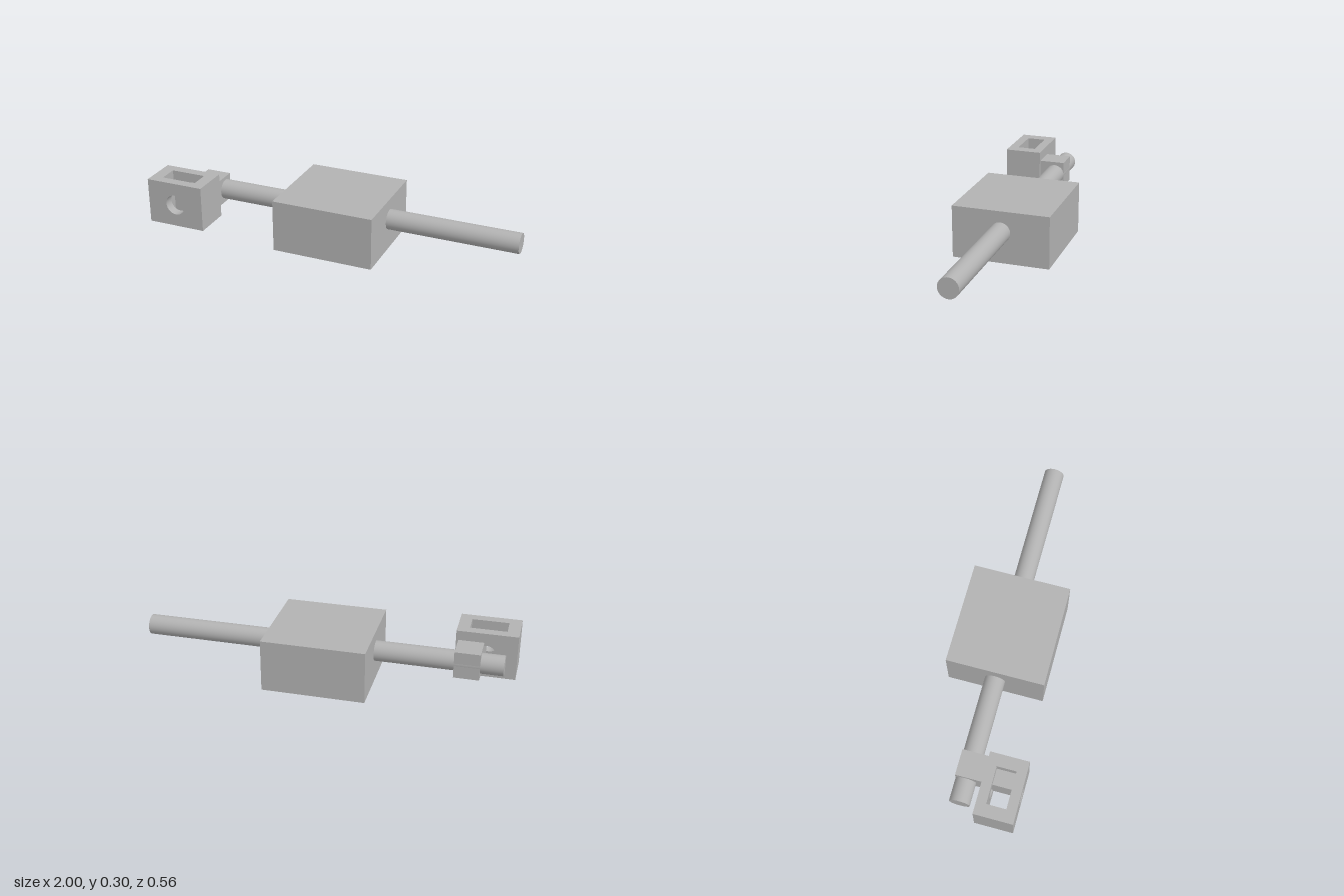
import * as THREE from 'three';

const steel = new THREE.MeshStandardMaterial({ color: 0xb2b2b2 });
steel.name = 'plain grey';

function add(parent, name, geometry) {
  const mesh = new THREE.Mesh(geometry, steel);
  mesh.name = name;
  parent.add(mesh);
  return mesh;
}

// Box given by its limits on each axis
function box(x0, x1, y0, y1, z0, z1) {
  return new THREE.BoxGeometry(x1 - x0, y1 - y0, z1 - z0)
    .translate((x0 + x1) / 2, (y0 + y1) / 2, (z0 + z1) / 2);
}

function rectangle(Type, x0, x1, y0, y1) {
  return new Type([[x0, y0], [x1, y0], [x1, y1], [x0, y1]].map(p => new THREE.Vector2(...p)));
}

export function createModel() {
  const model = new THREE.Group();
  model.name = 'slidingRodAssembly';
  const rodY = 0.171, rodZ = -0.016;

  // Main block: solid upper half, rectangular pocket open at the bottom
  const block = new THREE.Group();
  block.name = 'mainBlock';
  model.add(block);
  const pocketTop = 0.115;
  add(block, 'blockTop', box(-0.265, 0.29, pocketTop, 0.286, -0.28, 0.248));
  const skirt = rectangle(THREE.Shape, -0.265, 0.29, -0.248, 0.28);
  skirt.holes.push(rectangle(THREE.Path, -0.125, 0.15, -0.159, 0.191));
  add(block, 'blockSkirt', new THREE.ExtrudeGeometry(skirt, { depth: pocketTop, bevelEnabled: false })
    .rotateX(-Math.PI / 2));

  // Long round rod through the block
  add(model, 'rod', new THREE.CylinderGeometry(0.0545, 0.0545, 1.945, 64)
    .rotateZ(Math.PI / 2).translate(0.0275, rodY, rodZ));

  // Square arm crossing the rod and reaching into the housing
  add(model, 'crossArm', box(-0.824, -0.687, 0.096, 0.244, -0.07, 0.23));

  // End housing: slotted top to bottom, bored front to back
  const housing = new THREE.Group();
  housing.name = 'endHousing';
  model.add(housing);
  const wall = 0.052;
  const plate = rectangle(THREE.Shape, -1, -0.674, 0.046, 0.297);
  plate.holes.push(new THREE.Path().absarc(-0.837, rodY, 0.056, 0, Math.PI * 2, true));
  const plateGeometry = new THREE.ExtrudeGeometry(plate, { depth: wall, bevelEnabled: false, curveSegments: 48 });
  add(housing, 'backWall', plateGeometry).position.z = 0.073;
  add(housing, 'frontWall', plateGeometry).position.z = 0.28 - wall;
  add(housing, 'rightWall', box(-1, -0.935, 0.046, 0.297, 0.073 + wall, 0.28 - wall));
  add(housing, 'leftWall', box(-0.739, -0.674, 0.046, 0.297, 0.073 + wall, 0.28 - wall));

  return model;
}
